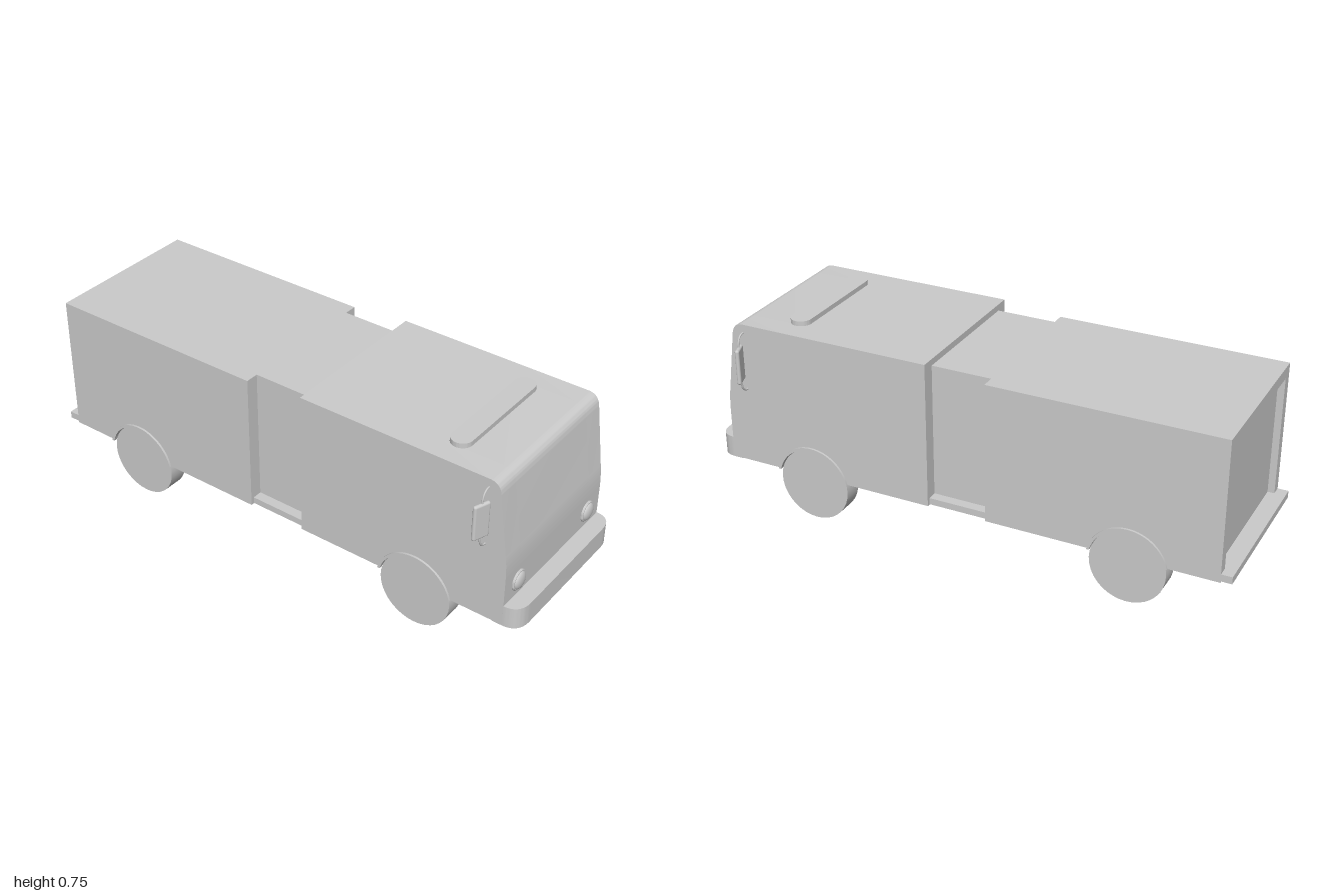
import * as THREE from 'three';
import { toCreasedNormals } from 'three/addons/utils/BufferGeometryUtils.js';
import { RoundedBoxGeometry } from 'three/addons/geometries/RoundedBoxGeometry.js';

const FLOOR = 0.177, HALF = 0.305, WELL = 0.22;
const WHEEL_Y = 0.14, WHEEL_R = 0.139, ARCH_Y = 0.145, ARCH_R = 0.141;
const AXLES = [-0.633, 0.594];
const grey = new THREE.MeshStandardMaterial({ color: 0xcccccc });

export function createModel() {
  const model = new THREE.Group();

  const add = (name, geometry, x = 0, y = 0, z = 0) => {
    const mesh = new THREE.Mesh(geometry, grey);
    mesh.name = name;
    mesh.position.set(x, y, z);
    model.add(mesh);
    return mesh;
  };
  const box = (name, x0, x1, y0, y1, z0, z1) =>
    add(name, new THREE.BoxGeometry(x1 - x0, y1 - y0, z1 - z0), (x0 + x1) / 2, (y0 + y1) / 2, (z0 + z1) / 2);
  const extrude = (shape, depth) => toCreasedNormals(
    new THREE.ExtrudeGeometry(shape, { depth, bevelEnabled: false, curveSegments: 16 }), 0.6);

  // Side profile running along the floor, with an optional wheel arch
  const theta = Math.asin((FLOOR - ARCH_Y) / ARCH_R);
  const profile = (x0, x1, axle, finish) => {
    const s = new THREE.Shape();
    s.moveTo(x0, FLOOR);
    if (axle !== null) {
      s.lineTo(axle - ARCH_R * Math.cos(theta), FLOOR);
      s.absarc(axle, ARCH_Y, ARCH_R, Math.PI - theta, theta, true);
    }
    s.lineTo(x1, FLOOR);
    finish(s);
    s.closePath();
    return s;
  };
  // Solid core plus two outer slabs that hold the wheel wells
  const hull = (name, x0, x1, axle, finish) => {
    add(name + 'Core', extrude(profile(x0, x1, null, finish), 2 * WELL), 0, 0, -WELL);
    for (const z of [WELL, -HALF]) add(name + 'Side', extrude(profile(x0, x1, axle, finish), HALF - WELL), 0, 0, z);
  };

  // Cab with raked, round-topped windscreen
  hull('cab', 0.12, 0.938, AXLES[1], s => {
    s.lineTo(0.938, 0.36);
    s.quadraticCurveTo(0.938, 0.42, 0.931, 0.46);
    s.lineTo(0.899, 0.685);
    s.quadraticCurveTo(0.893, 0.729, 0.855, 0.729);
    s.lineTo(0.12, 0.729);
  });

  // Rear body and the frame around its recessed back panel
  hull('rearBody', -0.935, -0.105, AXLES[0], s => {
    s.lineTo(-0.105, 0.705);
    s.lineTo(-0.935, 0.705);
  });
  const frame = new THREE.Shape([[-HALF, FLOOR], [HALF, FLOOR], [HALF, 0.705], [-HALF, 0.705]]
    .map(p => new THREE.Vector2(...p)));
  frame.holes.push(new THREE.Path([[-0.267, 0.21], [-0.267, 0.662], [0.267, 0.662], [0.267, 0.21]]
    .map(p => new THREE.Vector2(...p))));
  add('rearFrame', extrude(frame, 0.025), -0.96).rotation.y = Math.PI / 2;
  box('rearStep', -1, -0.955, 0.183, 0.21, -HALF, HALF);

  // Narrow middle section with side steps
  box('middleBody', -0.106, 0.121, FLOOR, 0.705, -0.255, 0.255);
  box('sideSteps', -0.106, 0.121, 0.178, 0.203, -0.292, 0.292);

  // Front bumper, rounded in plan
  const bumper = new THREE.Shape();
  bumper.moveTo(0.9, -HALF);
  bumper.lineTo(0.935, -HALF);
  bumper.quadraticCurveTo(1, -HALF, 1, -0.235);
  bumper.lineTo(1, 0.235);
  bumper.quadraticCurveTo(1, HALF, 0.935, HALF);
  bumper.lineTo(0.9, HALF);
  bumper.closePath();
  add('frontBumper', extrude(bumper, 0.082), 0, 0.257).rotation.x = Math.PI / 2;

  // Roof light bar with round ends
  const bar = new THREE.Shape();
  bar.absarc(0.678, 0.19, 0.039, 0, Math.PI, false);
  bar.absarc(0.678, -0.19, 0.039, Math.PI, 2 * Math.PI, false);
  bar.closePath();
  add('roofLight', extrude(bar, 0.022), 0, 0.747).rotation.x = Math.PI / 2;

  // Wheels and arch lips
  const lip = new THREE.Shape();
  const lipAngle = r => Math.asin((FLOOR - ARCH_Y) / r);
  lip.absarc(0, 0, 0.148, lipAngle(0.148), Math.PI - lipAngle(0.148), false);
  lip.absarc(0, 0, 0.138, Math.PI - lipAngle(0.138), lipAngle(0.138), true);
  lip.closePath();
  const wheel = new THREE.CylinderGeometry(WHEEL_R, WHEEL_R, 0.075, 36).rotateX(Math.PI / 2);
  for (const side of [-1, 1]) {
    for (const x of AXLES) {
      add('wheel', wheel, x, WHEEL_Y, side * 0.2615);
      add('archLip', extrude(lip, 0.013), x, ARCH_Y, side > 0 ? 0.3 : -0.313);
    }

    // Headlight: rim ring and domed lens
    const rim = new THREE.LatheGeometry([[0, 0], [0.039, 0], [0.039, 0.008], [0.036, 0.011], [0.032, 0.011]]
      .map(p => new THREE.Vector2(...p)), 32).rotateZ(-Math.PI / 2);
    add('headlightRim', toCreasedNormals(rim, 0.6), 0.934, 0.314, side * 0.222);
    const lens = new THREE.SphereGeometry(0.033, 32, 8, 0, Math.PI * 2, 0, Math.PI / 2)
      .scale(1, 0.4, 1).rotateZ(-Math.PI / 2);
    add('headlightLens', lens, 0.943, 0.314, side * 0.222);

    // Mirror head and its two bent arms
    const head = new RoundedBoxGeometry(0.016, 0.135, 0.064, 4, 0.0078);
    add('mirror', head, 0.852, 0.5875, side * 0.34).rotation.y = side * -0.35 + (side > 0 ? Math.PI : 0);
    for (const [root, tip] of [[0.698, 0.65], [0.476, 0.525]]) {
      const bend = root + (tip - root) * 0.1;
      const arm = new THREE.CatmullRomCurve3([
        [0.3, root], [0.318, root + (tip - root) * 0.03], [0.331, bend + (tip - root) * 0.15], [0.338, bend + (tip - root) * 0.5], [0.339, tip],
      ].map(([z, y]) => new THREE.Vector3(0.853, y, side * z)));
      add('mirrorArm', new THREE.TubeGeometry(arm, 20, 0.0035, 8));
    }
  }
  return model;
}
